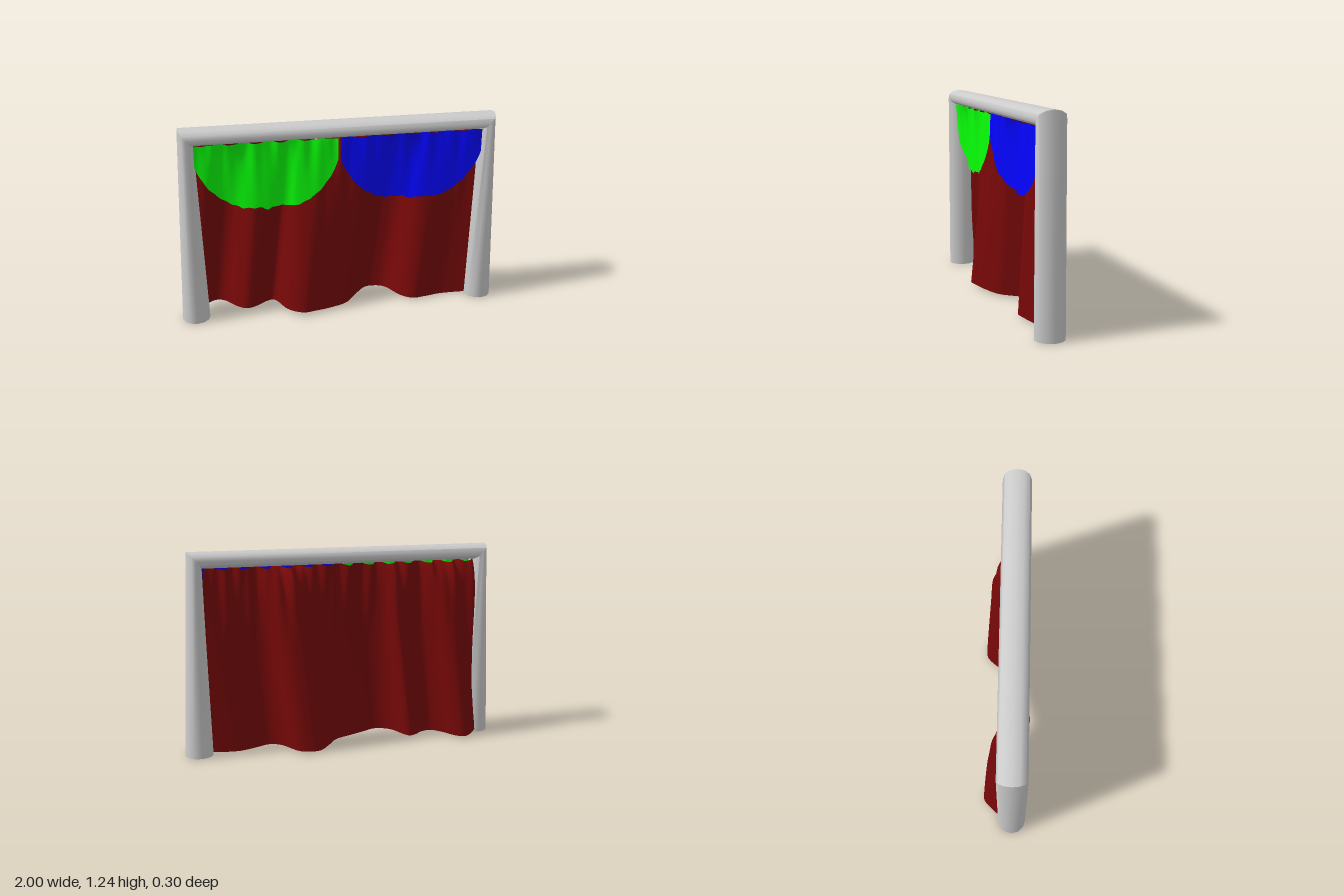
import * as THREE from 'three';
import { toCreasedNormals } from 'three/addons/utils/BufferGeometryUtils.js';

const DEPTH = 0.0875, FRAME_Z = 0.0375;

// Mitred frame lofted through four elliptical sections: [centre x, centre y, outward x, outward y]
function frameGeometry() {
  const sides = 12;
  const sections = [
    [0.915, 0, 0.085, 0], [0.9125, 1.185, 0.044, 0.05],
    [-0.9125, 1.185, -0.044, 0.05], [-0.915, 0, -0.085, 0],
  ];
  const positions = [], index = [];
  for (const [cx, cy, dx, dy] of sections) {
    for (let j = 0; j < sides; j++) {
      const t = (j / sides) * Math.PI * 2;
      positions.push(cx + dx * Math.cos(t), cy + dy * Math.cos(t), FRAME_Z + DEPTH * Math.sin(t));
    }
  }
  for (let i = 0; i < 3; i++) {
    for (let j = 0; j < sides; j++) {
      const a = i * sides + j, c = i * sides + (j + 1) % sides;
      index.push(a, a + sides, c, c, a + sides, c + sides);
    }
  }
  // feet
  const last = 3 * sides;
  for (let j = 1; j < sides - 1; j++) {
    index.push(0, j, j + 1, last, last + j + 1, last + j);
  }
  const g = new THREE.BufferGeometry();
  g.setAttribute('position', new THREE.Float32BufferAttribute(positions, 3));
  g.setIndex(index);
  return toCreasedNormals(g, Math.PI / 3.2);
}

// Fold depth along the hem: [x, z]
const HEM = [
  [-0.9, -0.03], [-0.85, -0.09], [-0.78, -0.145], [-0.72, -0.12], [-0.66, -0.03], [-0.6, 0.02],
  [-0.53, 0], [-0.46, -0.05], [-0.41, -0.05], [-0.35, 0.09], [-0.26, 0.152], [-0.17, 0.13],
  [-0.08, 0.1], [0.04, 0.045], [0.12, -0.055], [0.19, -0.135], [0.25, -0.15], [0.33, -0.115],
  [0.4, 0.02], [0.47, 0.07], [0.55, 0.055], [0.68, 0.025], [0.9, 0.045],
];

function hemDepth(x) {
  const n = HEM.length;
  if (x <= HEM[0][0]) return HEM[0][1];
  if (x >= HEM[n - 1][0]) return HEM[n - 1][1];
  const i = HEM.findIndex((p) => p[0] > x) - 1;
  const slope = (k) => {
    const a = HEM[Math.max(k - 1, 0)], b = HEM[Math.min(k + 1, n - 1)];
    return (b[1] - a[1]) / (b[0] - a[0]);
  };
  // cubic between neighbouring points
  const [x0, z0] = HEM[i], [x1, z1] = HEM[i + 1];
  const w = x1 - x0, t = (x - x0) / w, t2 = t * t, t3 = t2 * t;
  return (2 * t3 - 3 * t2 + 1) * z0 + (3 * t2 - 2 * t3) * z1
    + ((t3 - 2 * t2 + t) * slope(i) + (t3 - t2) * slope(i + 1)) * w;
}

// Folds lean to +x; backward folds keep their depth until they pinch in under the bar
function foldDepth(x, y) {
  const h = Math.max(y, 0), drop = Math.max(1.14 - y, 0);
  const fold = hemDepth(x - 0.11 * y) - 0.03;
  const spread = fold > 0
    ? Math.pow(drop / 1.14, 0.65)
    : (1 - 0.3 * Math.pow(h, 1.1)) * (1 - Math.exp(-drop / 0.07));
  const gather = 0.012 * Math.sin(x * 48 - y * 5) + 0.006 * Math.sin(x * 83 + 1);
  return 0.03 + fold * spread + gather * Math.pow(h, 6);
}

// Cloth sheet: place(u, v) gives a point, u across and v upwards, both 0 to 1
function cloth(name, color, nu, nv, place) {
  const g = new THREE.PlaneGeometry(1, 1, nu, nv);
  const p = g.attributes.position;
  for (let i = 0; i < p.count; i++) {
    p.setXYZ(i, ...place(p.getX(i) + 0.5, p.getY(i) + 0.5));
  }
  g.computeVertexNormals();
  const mesh = new THREE.Mesh(g, new THREE.MeshStandardMaterial({ color, side: THREE.DoubleSide }));
  mesh.name = name;
  return mesh;
}

// Half-round swag with a slightly ragged edge and a small centre tip
function swag(name, color, x0, x1) {
  return cloth(name, color, 72, 20, (s, v) => {
    const u = 2 * s - 1;
    const round = Math.pow(Math.max(1 - Math.pow(Math.abs(u), 2.7), 0), 0.8);
    const tip = 0.018 * Math.max(1 - Math.abs(u) / 0.09, 0);
    const bottom = Math.max(0.73, 1.01 - 0.295 * round) - tip + 0.003 * Math.sin(u * 40);
    const x = x0 + (x1 - x0) * s;
    const top = 1.14 + 0.005 * Math.sin(x * 40);
    const y = bottom + (top - bottom) * v;
    return [x, y, 0.088 + 0.25 * (foldDepth(x, y) - FRAME_Z)];
  });
}

export function createModel() {
  const model = new THREE.Group();
  model.name = 'curtainedFrame';

  const frame = new THREE.Mesh(frameGeometry(), new THREE.MeshStandardMaterial({ color: 0xcccccc }));
  frame.name = 'frame';
  model.add(frame);

  // main curtain, with rows closer together near the gathers
  model.add(cloth('curtain', 0x780808, 180, 50, (s, v) => {
    const x = -0.885 + 1.755 * s;
    const bottom = 0.015 - 0.01 * x + 0.04 * hemDepth(x) + 0.006 * Math.cos((x - 0.3) * 9);
    const top = 1.134 + 0.009 * Math.sin(x * 48);
    const y = top - (top - bottom) * Math.pow(1 - v, 1.7);
    return [x, y, foldDepth(x, y)];
  }));

  model.add(swag('rightSwag', 0x08ff08, -0.87, -0.02));
  model.add(swag('leftSwag', 0x0404ff, -0.005, 0.875));
  return model;
}
